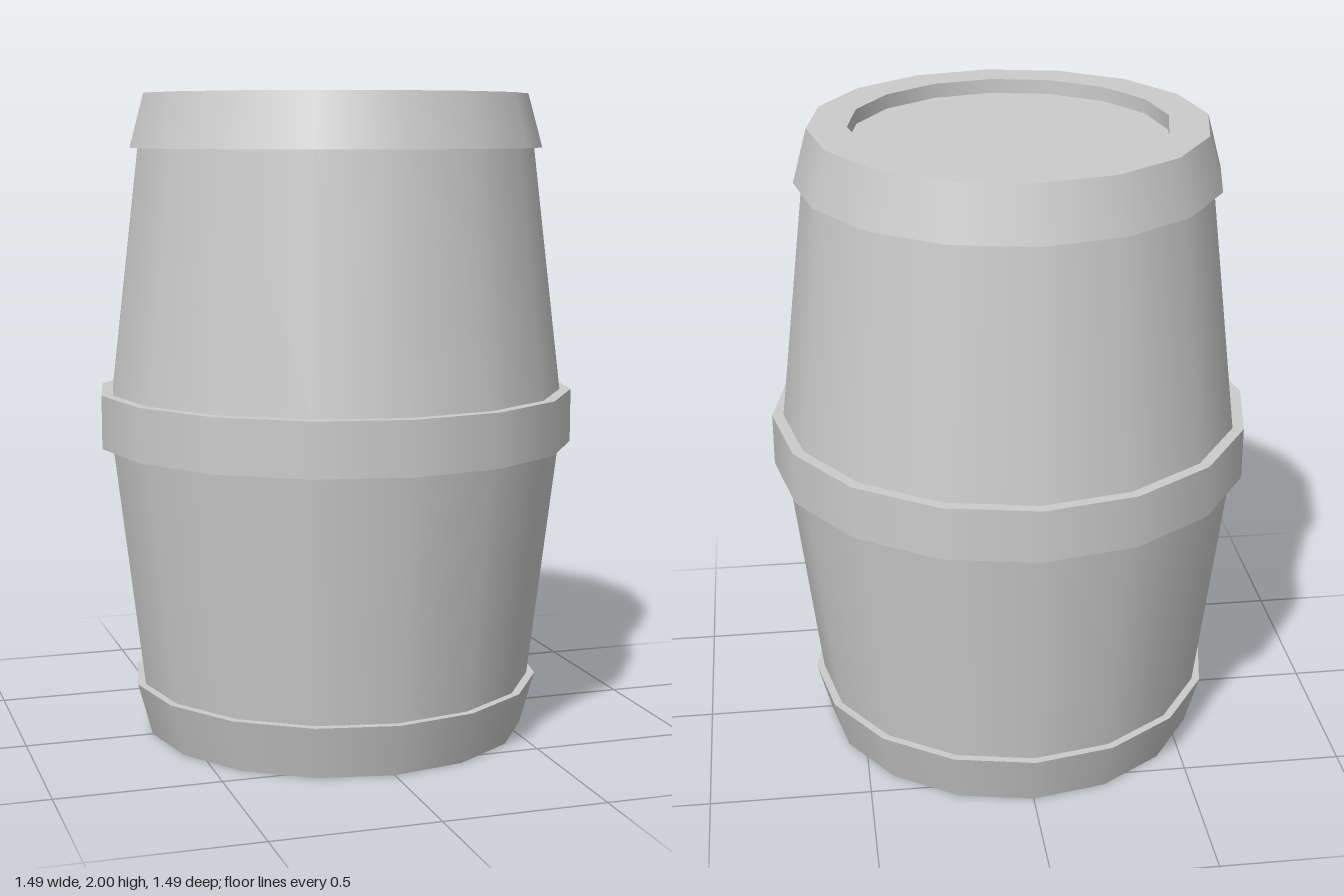
import * as THREE from 'three';
import { mergeGeometries } from 'three/addons/utils/BufferGeometryUtils.js';

const SIDES = 16;
const material = new THREE.MeshStandardMaterial({ color: 0xcccccc, side: THREE.DoubleSide });

// Turns a profile of [radius, height] points, smooth around and sharp at each profile corner.
function turned(name, profile) {
  const strips = [];
  for (let i = 0; i < profile.length - 1; i++) {
    const ends = [profile[i], profile[i + 1]].map(([r, y]) => new THREE.Vector2(r, y));
    strips.push(new THREE.LatheGeometry(ends, SIDES));
  }
  const mesh = new THREE.Mesh(mergeGeometries(strips), material);
  mesh.name = name;
  return mesh;
}

export function createModel() {
  const barrel = new THREE.Group();
  barrel.name = 'barrel';

  barrel.add(
    // Flared hoop around the open bottom, with its ledge
    turned('bottomHoop', [[0.6, 0], [0.645, 0.165], [0.62, 0.165]]),
    // Staves widening up to the middle
    turned('lowerStaves', [[0.62, 0.165], [0.71, 0.92]]),
    // Straight band around the belly
    turned('middleHoop', [[0.71, 0.92], [0.745, 0.92], [0.745, 1.085], [0.71, 1.085]]),
    // Staves narrowing to the top
    turned('upperStaves', [[0.71, 1.085], [0.62, 1.835]]),
    // Tapered hoop and flat rim
    turned('topHoop', [[0.62, 1.835], [0.645, 1.835], [0.6, 2], [0.48, 2]]),
    // Recessed lid
    turned('lid', [[0.48, 2], [0.48, 1.955], [0, 1.955]])
  );
  return barrel;
}
